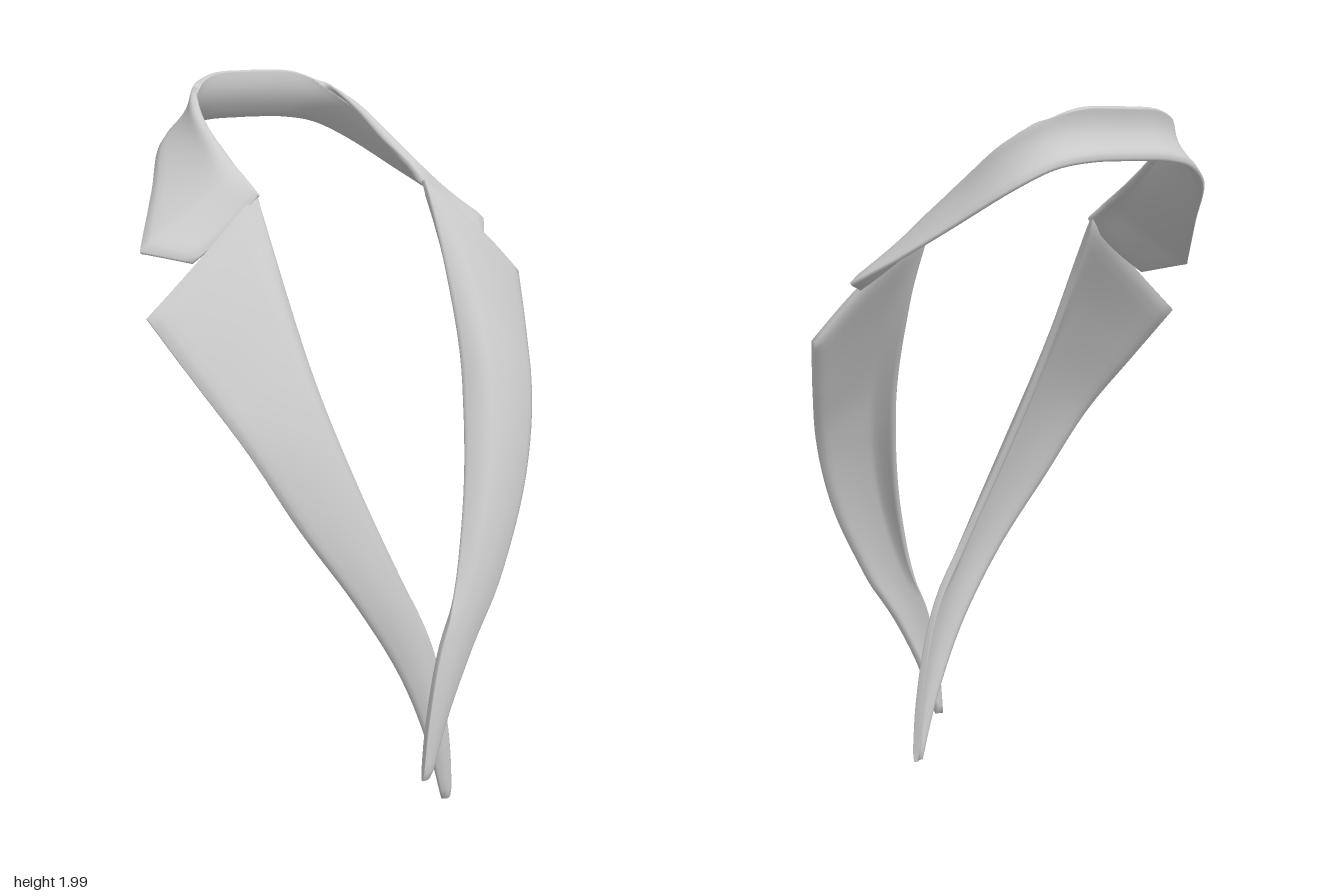
import * as THREE from 'three';

const material = new THREE.MeshStandardMaterial({ color: 0xcccccc });
const curve = (pts) => new THREE.CatmullRomCurve3(pts.map((p) => new THREE.Vector3(...p)), false, 'centripetal');

// Closed cloth panel: thickens a grid of centre points and rounds its rim.
function clothPanel(name, grid, thickness) {
  const rows = grid.length, cols = grid[0].length, loop = cols * 2;
  const position = [], index = [];
  const du = new THREE.Vector3(), dv = new THREE.Vector3();
  grid.forEach((row, i) => {
    const front = [], back = [];
    row.forEach((p, j) => {
      du.subVectors(row[Math.min(j + 1, cols - 1)], row[Math.max(j - 1, 0)]);
      dv.subVectors(grid[Math.min(i + 1, rows - 1)][j], grid[Math.max(i - 1, 0)][j]);
      const n = du.clone().cross(dv).normalize();
      const rim = i === 0 || i === rows - 1 || j === 0 || j === cols - 1;
      n.multiplyScalar(thickness * (rim ? 0.25 : 0.5));
      front.push(p.clone().add(n));
      back.unshift(p.clone().sub(n));
    });
    [...front, ...back].forEach((p) => position.push(p.x, p.y, p.z));
  });
  for (let i = 0; i < rows - 1; i++) {
    for (let j = 0; j < loop; j++) {
      const a = i * loop + j, b = i * loop + (j + 1) % loop;
      index.push(a, b, a + loop, b, b + loop, a + loop);
    }
  }
  // End caps
  const last = (rows - 1) * loop;
  for (let j = 0; j < cols - 1; j++) {
    const a = j, b = j + 1, c = loop - 2 - j, d = loop - 1 - j;
    index.push(a, d, b, b, d, c);
    index.push(last + a, last + b, last + d, last + b, last + c, last + d);
  }
  const geometry = new THREE.BufferGeometry();
  geometry.setAttribute('position', new THREE.Float32BufferAttribute(position, 3));
  geometry.setIndex(index);
  geometry.computeVertexNormals();
  const mesh = new THREE.Mesh(geometry, material);
  mesh.name = name;
  return mesh;
}

// Lapel: rolled inner edge, pointed outer corner, narrow crossing tail.
function lapel(name, side) {
  const inner = curve([
    [side > 0 ? 0.002 : 0.02, 1.695, 0.281], [0.148, 1.47, 0.285], [0.28, 1.2, 0.258], [0.36, 0.95, 0.195],
    [0.402, 0.7, 0.105], [0.412, 0.45, -0.002], [0.41, 0.2, -0.057], [0.402, 0.005, -0.078]]);
  const outer = curve([
    [0.035, 1.405, 0.643], [0.145, 1.25, 0.575], [0.258, 1.08, 0.495], [0.337, 0.87, 0.39],
    [0.392, 0.65, 0.25], [0.408, 0.42, 0.11], [0.405, 0.2, 0.01], [0.4, 0.008, -0.054]]);
  const grid = [];
  for (let i = 0; i <= 44; i++) {
    const t = i / 44, a = inner.getPoint(t), b = outer.getPoint(t), row = [];
    // Roll is deepest on the chest and flattens out towards the tail
    const curl = 0.058 * Math.sin(Math.PI * Math.min(1, t * 1.5));
    const bulge = (side > 0 ? 0.008 + 0.04 * t : 0.027) * (1 - t * 0.85);
    for (let j = 0; j <= 20; j++) {
      const u = (j / 20) ** 1.6;
      const p = a.clone().lerp(b, u);
      p.x += bulge * Math.sin(Math.PI * u);
      p.x -= curl * Math.max(0, 1 - u / 0.22) ** 2;
      // The overlapping side sits further out and ends higher
      if (side < 0) {
        p.x += 0.055 * Math.max(0, 1 - p.y / 1.1);
        p.z += 0.01 * Math.max(0, 1 - p.y / 0.5);
        p.y += 0.115 * Math.max(0, 1 - p.y / 0.6);
      }
      p.z *= side;
      row.push(p);
    }
    grid.push(row);
  }
  return clothPanel(name, grid, 0.022);
}

// Collar: one band around the neck, flaring to a point on each side.
function collar() {
  const neck = curve([
    [-0.42, 1.995, 0], [-0.41, 1.992, 0.14], [-0.37, 1.968, 0.225],
    [-0.28, 1.918, 0.277], [-0.145, 1.828, 0.29], [-0.055, 1.76, 0.288]]);
  const fall = curve([
    [-0.465, 1.863, 0], [-0.46, 1.86, 0.13], [-0.44, 1.843, 0.235],
    [-0.395, 1.797, 0.325], [-0.25, 1.685, 0.445], [-0.08, 1.555, 0.588]]);
  const half = [];
  for (let i = 0; i <= 30; i++) half.push([neck.getPoint(i / 30), fall.getPoint(i / 30)]);
  // Straight front edge from the point back to the notch
  const [n0, f0] = half[30];
  const n1 = new THREE.Vector3(0.017, 1.692, 0.281), f1 = new THREE.Vector3(0.012, 1.53, 0.488);
  for (let k = 1; k <= 5; k++) half.push([n0.clone().lerp(n1, k / 5), f0.clone().lerp(f1, k / 5)]);
  // The right wing reaches slightly further forward at its lower edge
  const flip = (p, reach) => new THREE.Vector3(p.x + reach * Math.max(0, p.x + 0.16), p.y, -p.z);
  const edges = [...half.slice(1).reverse().map(([a, b]) => [flip(a, 0), flip(b, 0.22)]), ...half];
  const grid = edges.map(([a, b]) => {
    const row = [];
    const roll = Math.sin(Math.PI * THREE.MathUtils.clamp((a.x + 0.42) / 0.437, 0, 1));
    for (let j = 0; j <= 16; j++) {
      const u = (j / 16) ** 1.4, p = a.clone().lerp(b, u);
      // Hollow the band towards the neck and roll its inner edge down at the sides
      const curl = roll * Math.max(0, 1 - u / 0.25) ** 2;
      const inward = 0.02 * Math.sin(Math.PI * u) + 0.008 * curl;
      const r = Math.hypot(p.x, p.z);
      p.x -= inward * p.x / r;
      p.z -= inward * p.z / r;
      p.y -= 0.05 * curl;
      row.push(p);
    }
    return row;
  });
  return clothPanel('collar', grid, 0.02);
}

export function createModel() {
  const group = new THREE.Group();
  group.name = 'lapelCollar';
  group.add(collar(), lapel('underLapel', 1), lapel('overLapel', -1));
  return group;
}
